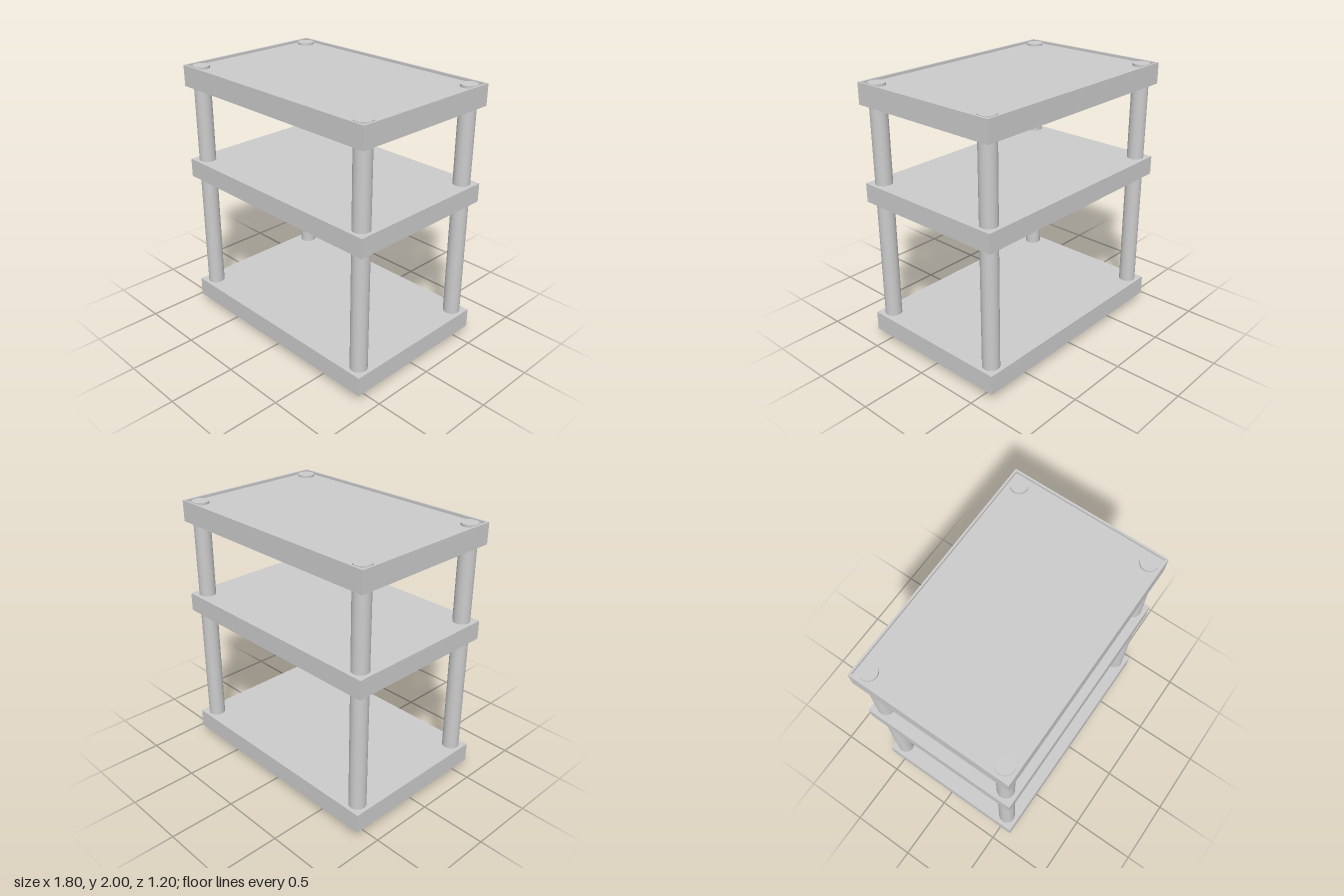
import * as THREE from 'three';

const W = 1.8, D = 1.2;            // shelf footprint
const PX = 0.81, PZ = 0.51;        // post centres
const R = 0.0625;                  // post and foot radius
const RIM = 0.015, RECESS = 0.02;  // border around the top panel

export function createModel() {
  const group = new THREE.Group();
  const material = new THREE.MeshStandardMaterial({ color: 0xcccccc });

  const add = (name, geometry, x = 0, y = 0, z = 0) => {
    const mesh = new THREE.Mesh(geometry, material);
    mesh.name = name;
    mesh.position.set(x, y, z);
    group.add(mesh);
    return mesh;
  };

  // Solid lower and middle shelves
  const shelf = (name, y0, y1) =>
    add(name, new THREE.BoxGeometry(W, y1 - y0, D), 0, (y0 + y1) / 2, 0);
  shelf('bottomShelf', 0.0625, 0.21);
  shelf('middleShelf', 1.128, 1.27);

  // Top shelf: thin frame around a slightly sunken panel
  const y0 = 1.843, y1 = 2, panelTop = y1 - RECESS;
  const rect = (shape, w, d) => {
    shape.moveTo(-w / 2, -d / 2);
    shape.lineTo(w / 2, -d / 2);
    shape.lineTo(w / 2, d / 2);
    shape.lineTo(-w / 2, d / 2);
    shape.closePath();
    return shape;
  };
  const frame = rect(new THREE.Shape(), W, D);
  frame.holes.push(rect(new THREE.Path(), W - 2 * RIM, D - 2 * RIM));
  const frameGeometry = new THREE.ExtrudeGeometry(frame, { depth: y1 - y0, bevelEnabled: false });
  frameGeometry.rotateX(-Math.PI / 2);
  add('topFrame', frameGeometry, 0, y0, 0);
  add('topPanel', new THREE.BoxGeometry(W - 2 * RIM, panelTop - y0, D - 2 * RIM),
    0, (y0 + panelTop) / 2, 0);

  // Corner posts through all shelves, each on a half-round foot
  const postBase = 0.1, postTop = 1.998;
  const post = new THREE.CylinderGeometry(R, R, postTop - postBase, 48);
  const foot = new THREE.SphereGeometry(R, 48, 16, 0, Math.PI * 2, Math.PI / 2, Math.PI / 2);
  for (const [sx, side] of [[1, 'left'], [-1, 'right']]) {
    for (const [sz, end] of [[1, 'Front'], [-1, 'Back']]) {
      add(`${side}${end}Post`, post, sx * PX, (postBase + postTop) / 2, sz * PZ);
      add(`${side}${end}Foot`, foot, sx * PX, R, sz * PZ);
    }
  }

  return group;
}
